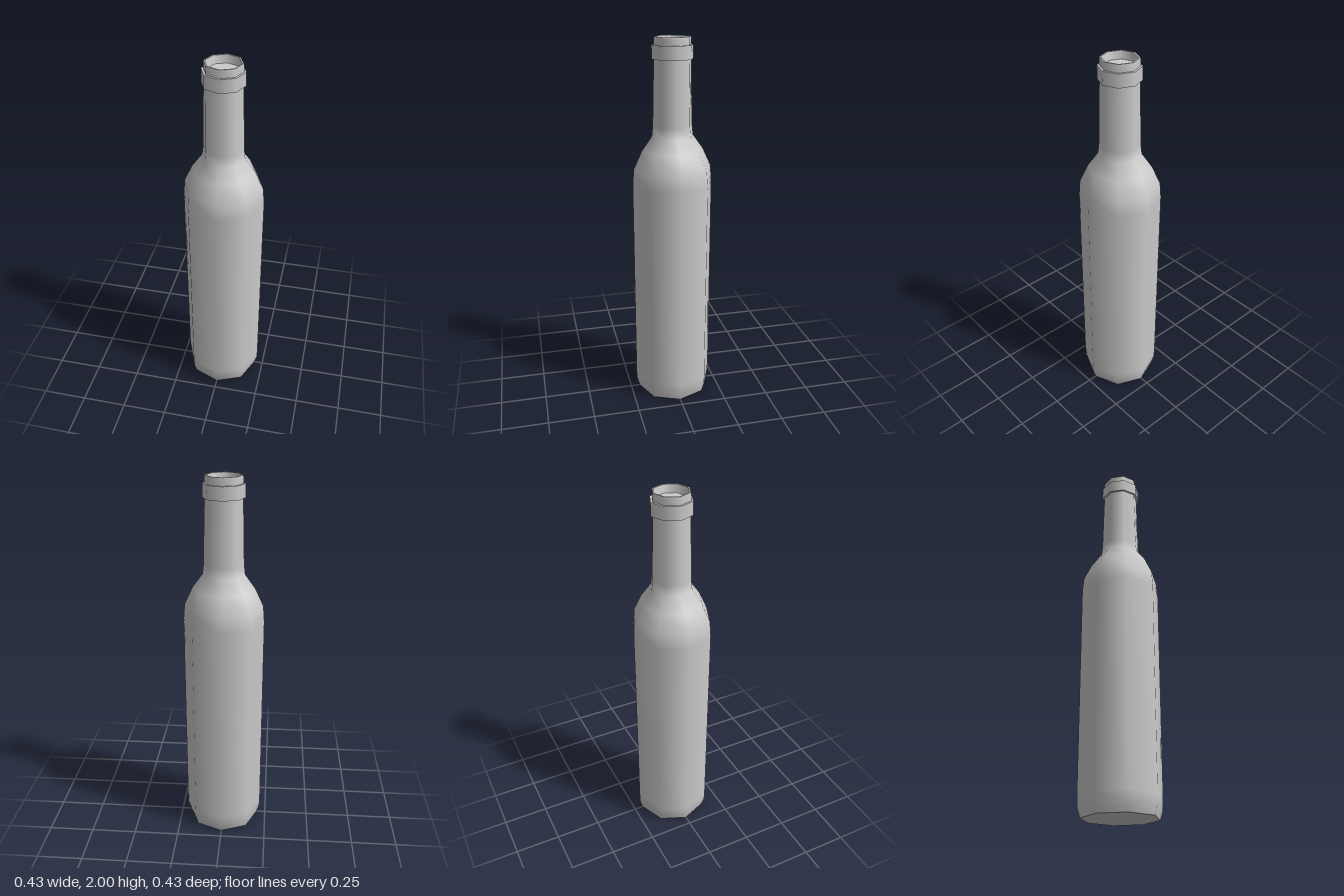
import * as THREE from 'three';

const SIDES = 8;
const material = new THREE.MeshStandardMaterial({ color: 0xcccccc });

// Turned section with smooth shading; separate sections keep crisp edges between them
function turned(profile) {
  const points = profile.map(([r, y]) => new THREE.Vector2(r, y));
  return new THREE.LatheGeometry(points, SIDES);
}

function addPart(parent, name, ...profiles) {
  const part = new THREE.Group();
  part.name = name;
  profiles.forEach((profile, i) => {
    const mesh = new THREE.Mesh(turned(profile), material);
    mesh.name = `${name}Surface${i + 1}`;
    part.add(mesh);
  });
  parent.add(part);
}

export function createModel() {
  const bottle = new THREE.Group();
  bottle.name = 'bottle';

  // Flat underside
  addPart(bottle, 'base', [[0, 0], [0.2, 0]]);

  // Body, shoulder and tapering neck in one smooth sweep
  addPart(bottle, 'body', [
    [0.2, 0], [0.215, 0.05], [0.217, 0.1], [0.217, 1.24], [0.21, 1.325],
    [0.166, 1.42], [0.112, 1.495], [0.106, 1.55], [0.098, 1.89],
  ]);

  // Raised band below the mouth: underside, wall, top
  addPart(bottle, 'collar',
    [[0.098, 1.89], [0.109, 1.89]],
    [[0.109, 1.89], [0.109, 1.96]],
    [[0.109, 1.96], [0.098, 1.96]]);

  // Lip: outer wall, rim, tapered inner wall
  addPart(bottle, 'lip',
    [[0.098, 1.96], [0.098, 1.99], [0.096, 2]],
    [[0.096, 2], [0.088, 2]],
    [[0.088, 2], [0.08, 1.96]]);

  // Closed floor of the mouth
  addPart(bottle, 'mouthFloor', [[0.08, 1.96], [0, 1.96]]);

  return bottle;
}
